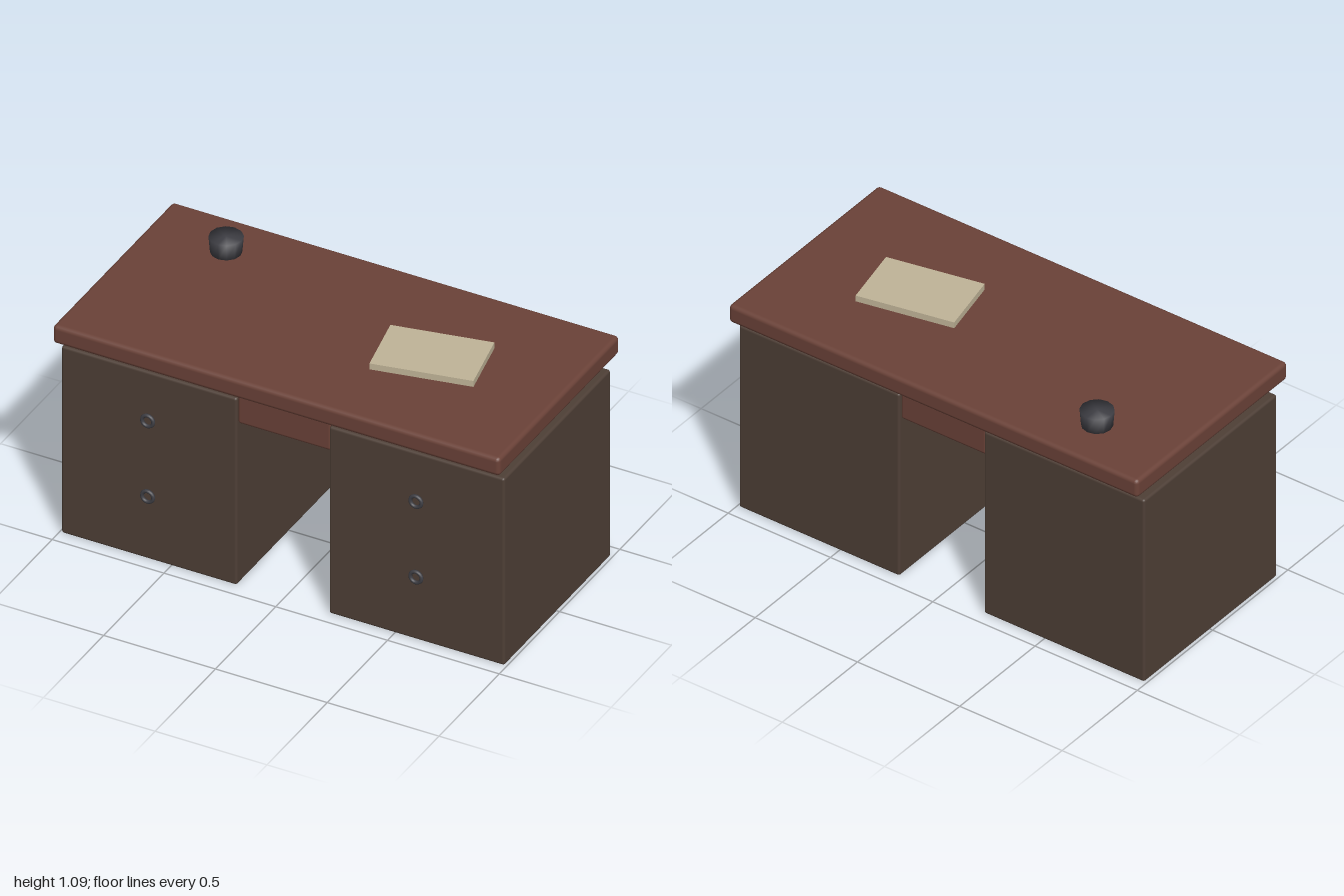
import * as THREE from 'three';
import { RoundedBoxGeometry } from 'three/addons/geometries/RoundedBoxGeometry.js';
import { mergeVertices } from 'three/addons/utils/BufferGeometryUtils.js';

const paint = (color) => new THREE.MeshStandardMaterial({ color });

export function createModel() {
  const desk = new THREE.Group();
  desk.name = 'desk';
  const redWood = paint(0x6b4238);
  const darkWood = paint(0x4e3f36);
  const iron = paint(0x3f3f45);
  const paper = paint(0xc0b498);

  const add = (name, geometry, material, x, y, z) => {
    const mesh = new THREE.Mesh(geometry, material);
    mesh.name = name;
    mesh.position.set(x, y, z);
    desk.add(mesh);
    return mesh;
  };

  // Table top and the drawer box between the pedestals
  add('tableTop', new RoundedBoxGeometry(2, 0.085, 1, 2, 0.018), redWood, 0, 0.9725, 0);
  add('centreDrawer', new RoundedBoxGeometry(0.42, 0.14, 0.86, 2, 0.014), redWood, 0, 0.83, 0);

  // Two pedestals, each with two ring pulls on the front
  for (const [side, s] of [['left', 1], ['right', -1]]) {
    add(side + 'Pedestal', new RoundedBoxGeometry(0.785, 0.885, 0.884, 2, 0.011), darkWood, s * 0.5985, 0.4425, 0);
    for (const [level, y] of [['Upper', 0.66], ['Lower', 0.302]]) {
      add(side + level + 'Pull', new THREE.TorusGeometry(0.025, 0.008, 8, 20), iron, s * 0.6, y, 0.45);
    }
  }

  // Cup: tapered, with shading blended over its rim
  let cup = new THREE.CylinderGeometry(0.07, 0.064, 0.073, 12);
  cup.deleteAttribute('normal');
  cup.deleteAttribute('uv');
  cup = mergeVertices(cup);
  cup.computeVertexNormals();
  add('cup', cup, iron, -0.645, 1.0515, -0.285);

  // Book lying at an angle
  const book = add('book', new THREE.BoxGeometry(0.428, 0.028, 0.285), paper, 0.428, 1.029, -0.002);
  book.rotation.y = 0.2;

  return desk;
}
